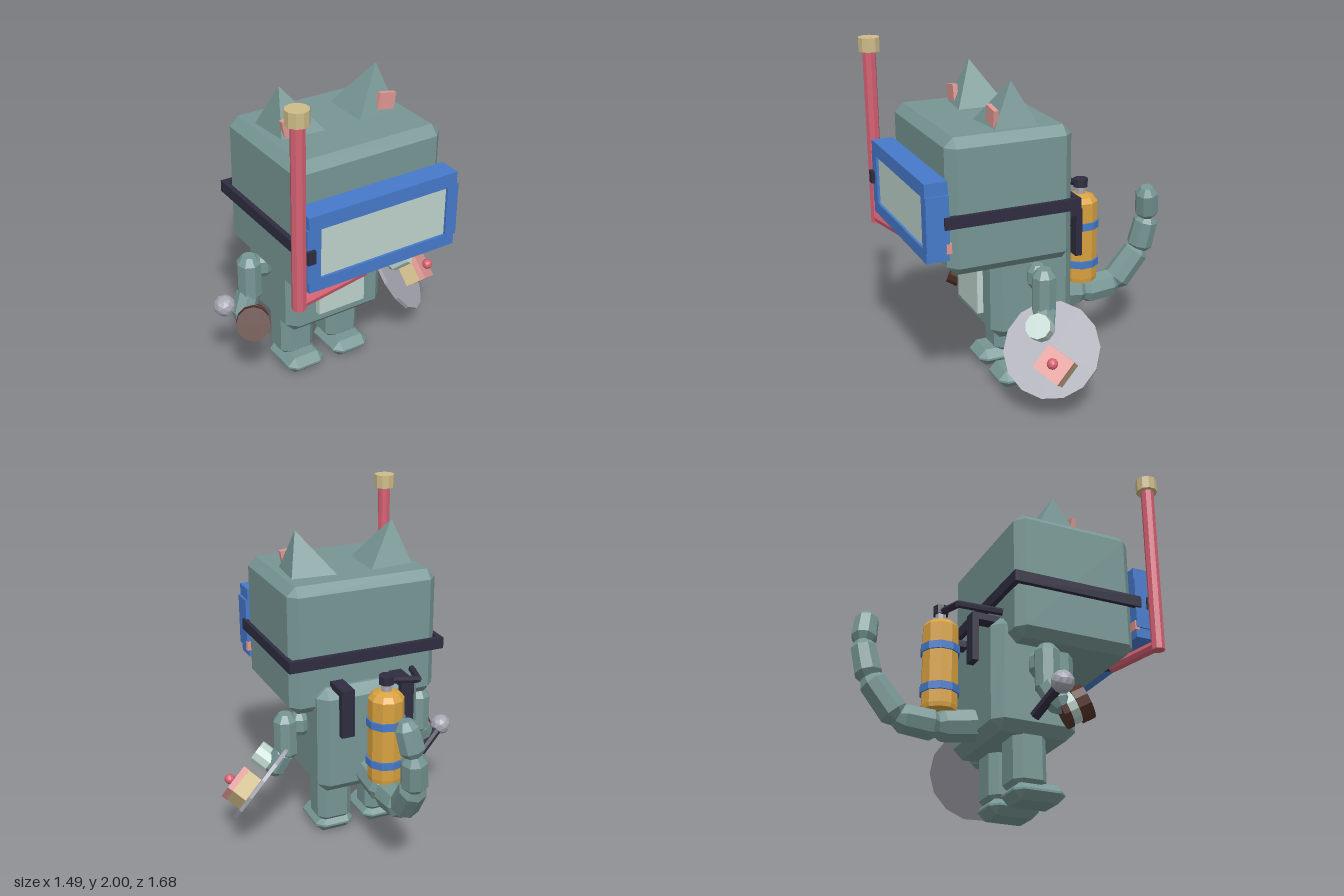
import * as THREE from 'three';
import { ConvexGeometry } from 'three/addons/geometries/ConvexGeometry.js';

const palette = {
  teal: 0x769694, pale: 0xbfd4cd, blue: 0x467acb, dark: 0x2f2d40, red: 0xd66173,
  yellow: 0xd8a240, tan: 0xcdbb88, pink: 0xde9793, grey: 0xa6a7b1, brown: 0x553229,
};
const mats = {};
for (const [name, hex] of Object.entries(palette)) {
  mats[name] = new THREE.MeshStandardMaterial({ color: hex });
  mats[name].name = name;
}

const CX = -0.08; // the body's plane of symmetry
const V = (x, y, z) => new THREE.Vector3(x, y, z);
const UP = V(0, 1, 0);

// Faceted normals
function flat(g) {
  const f = g.index ? g.toNonIndexed() : g;
  f.computeVertexNormals();
  return f;
}

function add(parent, name, geo, color, x = 0, y = 0, z = 0) {
  const m = new THREE.Mesh(flat(geo), mats[color]);
  m.name = name;
  m.position.set(x, y, z);
  parent.add(m);
  return m;
}

// Plain box given by its limits
function box(parent, name, color, x0, x1, y0, y1, z0, z1) {
  return add(parent, name, new THREE.BoxGeometry(x1 - x0, y1 - y0, z1 - z0), color,
    (x0 + x1) / 2, (y0 + y1) / 2, (z0 + z1) / 2);
}

// Box with bevelled edges, given by its limits
function bevelBox(parent, name, color, x0, x1, y0, y1, z0, z1, b) {
  const hx = (x1 - x0) / 2, hy = (y1 - y0) / 2, hz = (z1 - z0) / 2, pts = [];
  for (const i of [-1, 1]) for (const j of [-1, 1]) for (const k of [-1, 1]) {
    pts.push(V(i * hx, j * (hy - b), k * (hz - b)));
    pts.push(V(i * (hx - b), j * hy, k * (hz - b)));
    pts.push(V(i * (hx - b), j * (hy - b), k * hz));
  }
  return add(parent, name, new ConvexGeometry(pts), color, (x0 + x1) / 2, (y0 + y1) / 2, (z0 + z1) / 2);
}

// Straight piece from a to b
function between(parent, name, color, a, b, geo) {
  const m = add(parent, name, geo, color);
  m.position.copy(a).add(b).multiplyScalar(0.5);
  m.quaternion.setFromUnitVectors(UP, b.clone().sub(a).normalize());
  return m;
}
function rod(parent, name, color, a, b, r, sides = 6) {
  return between(parent, name, color, a, b, new THREE.CylinderGeometry(r, r, a.distanceTo(b), sides));
}
// Rounded limb segment with tapered ends
function limb(parent, name, a, b, r0, r1 = r0) {
  const h = a.distanceTo(b) / 2;
  const profile = [[0, -h], [r0 * 0.55, -h], [r0, -h + r0 * 0.6], [r1, h - r1 * 0.6], [r1 * 0.55, h], [0, h]];
  return between(parent, name, 'teal', a, b,
    new THREE.LatheGeometry(profile.map(p => new THREE.Vector2(...p)), 8));
}

function buildHead(g) {
  bevelBox(g, 'head', 'teal', -0.54, 0.38, 0.855, 1.625, -0.065, 0.67, 0.052);
  box(g, 'muzzle', 'pale', -0.18, 0.1, 0.92, 1.06, 0.66, 0.69);
  const mouth = new THREE.CatmullRomCurve3([V(-0.15, 0.96, 0.69), V(-0.11, 0.94, 0.69),
    V(-0.06, 0.965, 0.69), V(-0.01, 0.94, 0.69), V(0.04, 0.96, 0.69)]);
  add(g, 'mouth', new THREE.TubeGeometry(mouth, 16, 0.012, 5), 'dark');
  for (const s of [-1, 1]) {
    // Ears lean outward
    const base = [[0.105, 0.093], [0.378, 0.115], [0.36, 0.365], [0.105, 0.39]];
    add(g, 'ear', new ConvexGeometry([V(CX + s * 0.303, 1.867, 0.245),
      ...base.map(([x, z]) => V(CX + s * x, 1.62, z))]), 'teal');
    const inner = add(g, 'innerEar', new THREE.BoxGeometry(0.105, 0.095, 0.028), 'pink', CX + s * 0.298, 1.685, 0.352);
    inner.rotation.z = -s * 0.17;
    const cx = CX + s * 0.425;
    box(g, 'cheek', 'pink', cx - 0.045, cx + 0.045, 1.01, 1.065, 0.66, 0.69);
  }
}

function buildMask(g) {
  box(g, 'maskTop', 'blue', -0.545, 0.375, 1.325, 1.407, 0.67, 0.8);
  box(g, 'maskBottom', 'blue', -0.545, 0.375, 0.965, 1.037, 0.67, 0.8);
  box(g, 'maskSide', 'blue', -0.555, -0.475, 1.025, 1.335, 0.67, 0.8);
  box(g, 'maskSide', 'blue', 0.317, 0.388, 1.025, 1.335, 0.67, 0.8);
  box(g, 'lens', 'pale', -0.48, 0.322, 1.03, 1.33, 0.765, 0.785);
  // Strap round the head
  box(g, 'strapSide', 'dark', -0.568, -0.538, 1.148, 1.215, -0.08, 0.7);
  box(g, 'strapSide', 'dark', 0.375, 0.403, 1.148, 1.215, -0.08, 0.7);
  box(g, 'strapBack', 'dark', -0.568, 0.403, 1.148, 1.215, -0.095, -0.063);
  // Snorkel
  rod(g, 'snorkelTube', 'red', V(-0.592, 0.88, 0.775), V(-0.592, 1.95, 0.775), 0.039, 8);
  rod(g, 'snorkelCap', 'tan', V(-0.592, 1.92, 0.772), V(-0.592, 2, 0.772), 0.063, 10);
  rod(g, 'snorkelPipe', 'red', V(-0.6, 0.912, 0.775), V(-0.165, 0.942, 0.73), 0.034, 8);
  rod(g, 'mouthpiece', 'dark', V(-0.18, 0.94, 0.74), V(-0.13, 0.945, 0.69), 0.025, 6);
  box(g, 'snorkelClip', 'dark', -0.562, -0.515, 1.148, 1.222, 0.74, 0.82);
}

function buildBody(g) {
  bevelBox(g, 'body', 'teal', -0.4, 0.238, 0.355, 1.02, -0.142, 0.364, 0.057);
  box(g, 'belly', 'pale', -0.232, 0.074, 0.475, 0.87, 0.35, 0.4);
  for (const s of [-1, 1]) {
    const x = CX + s * 0.157;
    bevelBox(g, 'leg', 'teal', x - 0.11, x + 0.11, 0.07, 0.42, 0.003, 0.2, 0.042);
    bevelBox(g, 'foot', 'teal', x - 0.122, x + 0.122, 0.003, 0.105, 0, 0.306, 0.045);
    limb(g, 'shoulder', V(CX + s * 0.35, 0.665, 0.11), V(CX + s * 0.35, 0.81, 0.11), 0.062);
    limb(g, 'upperArm', V(CX + s * 0.44, 0.52, 0.11), V(CX + s * 0.44, 0.815, 0.11), 0.072);
    limb(g, 'forearm', V(CX + s * 0.435, 0.6, 0.1), V(CX + s * 0.52, 0.42, 0.15), 0.068);
  }
  // Tail curls up behind
  const path = [V(CX, 0.47, -0.1), V(CX, 0.43, -0.35), V(CX, 0.445, -0.575),
    V(-0.06, 0.655, -0.735), V(-0.035, 0.86, -0.772), V(0.01, 1.07, -0.74)];
  for (let i = 0; i < 5; i++) {
    const ext = path[i + 1].clone().sub(path[i]).setLength(i < 4 ? 0.02 : 0);
    limb(g, 'tailSegment', path[i].clone().sub(ext), path[i + 1].clone().add(ext), 0.098 - i * 0.006, 0.093 - i * 0.006);
  }
}

function buildTank(g) {
  const tank = new THREE.Group();
  tank.name = 'airTank';
  tank.position.set(CX, 0, -0.335);
  g.add(tank);
  const profile = [[0, 0.515], [0.1, 0.515], [0.104, 0.54], [0.104, 1.02], [0.08, 1.05], [0.04, 1.065], [0, 1.065]];
  add(tank, 'tankBody', new THREE.LatheGeometry(profile.map(p => new THREE.Vector2(...p)), 10), 'yellow');
  for (const y of [0.635, 0.878])
    add(tank, 'tankBand', new THREE.CylinderGeometry(0.114, 0.114, 0.045, 10), 'blue', 0, y);
  add(tank, 'valve', new THREE.CylinderGeometry(0.032, 0.032, 0.1, 8), 'grey', 0, 1.09);
  add(tank, 'valveKnob', new THREE.CylinderGeometry(0.045, 0.045, 0.05, 8), 'dark', 0, 1.13);
  // Hose from the valve round to the back of the head
  const hose = [V(CX, 1.125, -0.335), V(-0.29, 1.085, -0.315), V(-0.37, 1.045, -0.08)];
  for (let i = 0; i < 2; i++) rod(g, 'hose', 'dark', hose[i], hose[i + 1], 0.021, 6);
  // Harness hooks
  for (const s of [-1, 1]) {
    const x = CX + s * 0.186;
    box(g, 'harnessTop', 'dark', x - 0.04, x + 0.04, 1.01, 1.05, -0.235, -0.06);
    box(g, 'harnessBar', 'dark', x - 0.04, x + 0.04, 0.76, 1.05, -0.235, -0.195);
  }
}

function buildPlate(g) {
  // Tilted plate with a slice of cake, built along its own axis
  const n = V(0.63, 0.56, 0.53).normalize();
  const w = V(0.765, -0.398, -0.494).cross(n).normalize();
  const u = n.clone().cross(w);
  const p = new THREE.Group();
  p.name = 'cakePlate';
  p.quaternion.setFromRotationMatrix(new THREE.Matrix4().makeBasis(u, n, w));
  p.position.set(0.505, 0.385, 0.13);
  g.add(p);
  add(p, 'plate', new THREE.CylinderGeometry(0.277, 0.277, 0.022, 14), 'grey');
  add(p, 'paw', new THREE.CylinderGeometry(0.073, 0.073, 0.11, 10), 'pale', -0.107, 0.085, -0.058);
  box(p, 'sponge', 'tan', 0.007, 0.177, 0.01, 0.105, -0.018, 0.132);
  box(p, 'icing', 'pink', 0.005, 0.179, 0.105, 0.142, -0.02, 0.134);
  add(p, 'cherry', new THREE.IcosahedronGeometry(0.032, 1), 'red', 0.092, 0.165, 0.057);
}

function buildCookie(g) {
  // Sandwich biscuit and a ball-ended baton in the right hand
  const a = V(-0.42, 0.42, 0.8).normalize();
  const at = d => V(-0.605, 0.49, 0.3).addScaledVector(a, -d);
  rod(g, 'biscuitFront', 'brown', at(0.07), at(0), 0.098, 12);
  rod(g, 'biscuitFilling', 'pale', at(0.12), at(0.07), 0.088, 12);
  rod(g, 'biscuitBack', 'brown', at(0.155), at(0.12), 0.094, 12);
  rod(g, 'batonHandle', 'dark', V(-0.5, 0.4, 0.04), V(-0.685, 0.535, 0.11), 0.03, 8);
  add(g, 'batonBall', new THREE.IcosahedronGeometry(0.064, 1), 'grey', -0.685, 0.537, 0.112);
}

export function createModel() {
  const g = new THREE.Group();
  g.name = 'divingCat';
  for (const build of [buildHead, buildMask, buildBody, buildTank, buildPlate, buildCookie]) build(g);
  return g;
}
